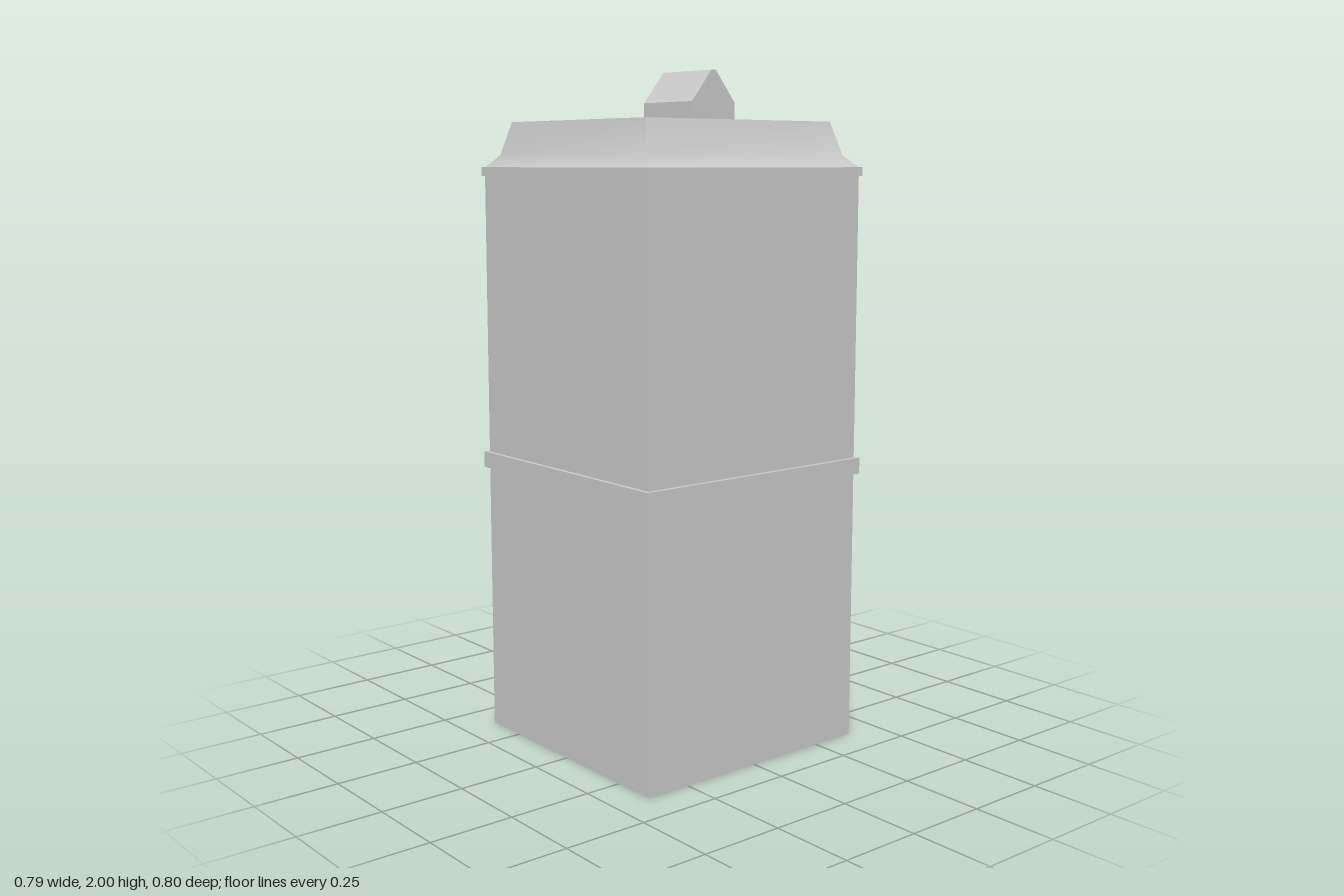
import * as THREE from 'three';

const material = new THREE.MeshStandardMaterial({ color: 0xcccccc, side: THREE.DoubleSide });
const CORNERS = [[-1, 1], [1, 1], [1, -1], [-1, -1]];

// Sweeps a profile of [halfX, halfZ, y] around a rectangle: sharp at the corners, smooth along the profile
function sweep(profile) {
  const positions = [], index = [];
  CORNERS.forEach((a, side) => {
    const b = CORNERS[(side + 1) % 4];
    const base = side * profile.length * 2;
    profile.forEach(([x, z, y], i) => {
      positions.push(a[0] * x, y, a[1] * z, b[0] * x, y, b[1] * z);
      if (i === 0) return;
      const p = base + (i - 1) * 2;
      index.push(p, p + 1, p + 3, p, p + 3, p + 2);
    });
  });
  const geometry = new THREE.BufferGeometry();
  geometry.setAttribute('position', new THREE.Float32BufferAttribute(positions, 3));
  geometry.setIndex(index);
  geometry.computeVertexNormals();
  return geometry;
}

function addMesh(parent, name, geometry) {
  const mesh = new THREE.Mesh(geometry, material);
  mesh.name = name;
  parent.add(mesh);
  return mesh;
}

// Same sweep, with a hard edge at every profile point
function addSharp(parent, name, profile) {
  const group = new THREE.Group();
  group.name = name;
  for (let i = 1; i < profile.length; i++) {
    addMesh(group, name + 'Face' + i, sweep([profile[i - 1], profile[i]]));
  }
  parent.add(group);
}

export function createModel() {
  const model = new THREE.Group();
  model.name = 'towerBlock';
  const wallX = 0.385, wallZ = 0.39, floorY = 1.81;

  // Walls, open at the bottom
  addMesh(model, 'walls', sweep([[wallX, wallZ, 0], [wallX, wallZ, 1.71]]));

  // Projecting bands
  const band = (name, y0, y1, out) => addSharp(model, name, [
    [wallX, wallZ, y0], [wallX + out, wallZ + out, y0],
    [wallX + out, wallZ + out, y1], [wallX, wallZ, y1],
  ]);
  band('middleBand', 0.81, 0.858, 0.012);
  band('corniceBand', 1.685, 1.71, 0.007);

  // Flared roof slope
  addMesh(model, 'roofSlope', sweep([
    [wallX, wallZ, 1.71], [0.345, 0.362, 1.744], [0.314, 0.34, 1.84],
  ]));

  // Parapet rim around the sunken roof
  addSharp(model, 'parapet', [
    [0.314, 0.34, 1.84], [0.292, 0.316, 1.84], [0.292, 0.316, floorY],
  ]);
  const roof = addMesh(model, 'roofFloor', new THREE.PlaneGeometry(0.584, 0.632));
  roof.rotation.x = -Math.PI / 2;
  roof.position.y = floorY;

  // Gabled roof hut: cross-section in z and y, extruded along x
  const section = new THREE.Shape([
    [0.135, floorY], [0.304, floorY], [0.304, 1.905],
    [0.228, 2], [0.211, 2], [0.135, 1.905],
  ].map(([z, y]) => new THREE.Vector2(z, y)));
  const hut = addMesh(model, 'roofHut',
    new THREE.ExtrudeGeometry(section, { depth: 0.23, bevelEnabled: false }));
  hut.rotation.y = Math.PI / 2;
  hut.position.x = -0.29;

  return model;
}
